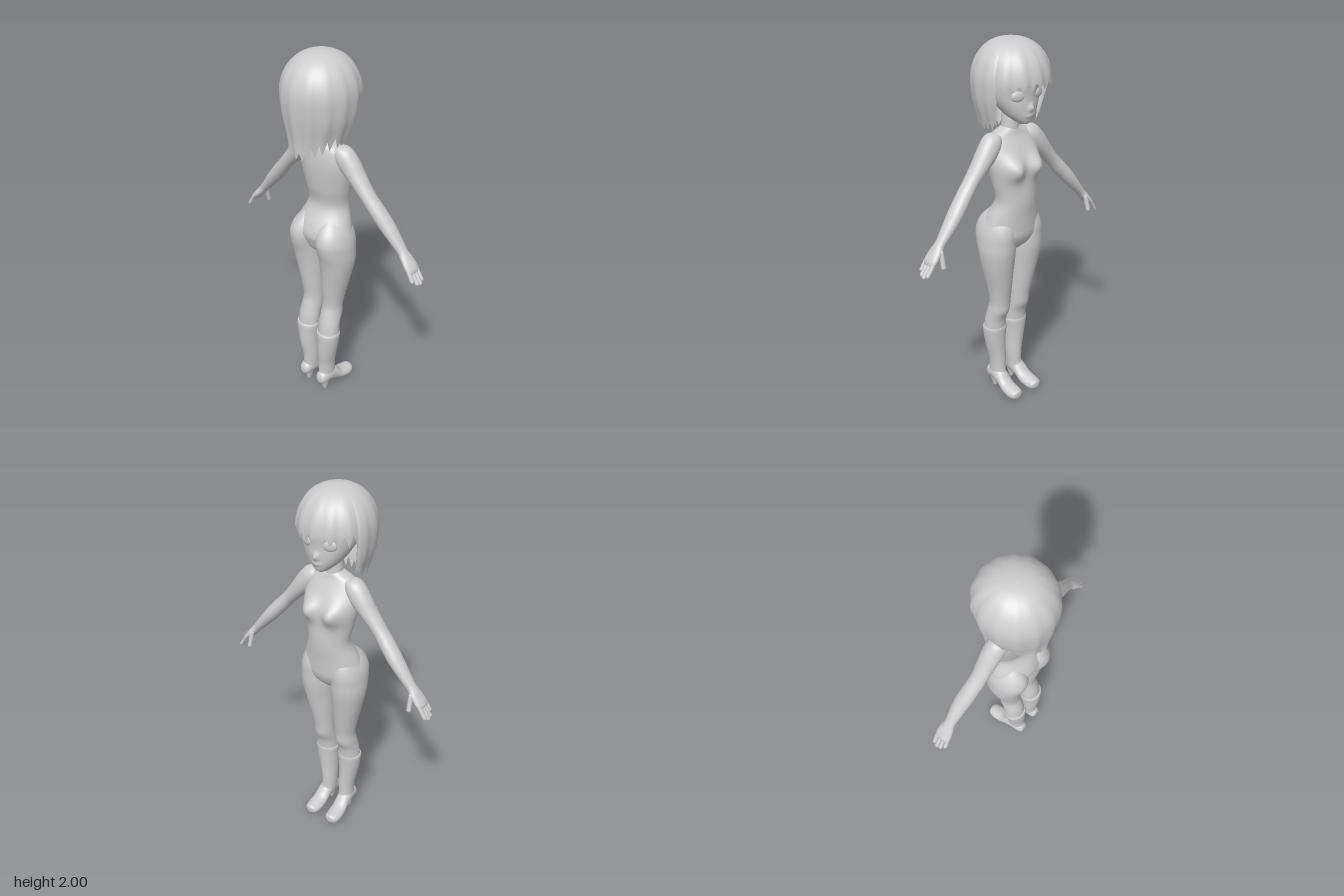
import * as THREE from 'three';

const grey = new THREE.MeshStandardMaterial({ color: 0xcccccc, side: THREE.DoubleSide });
grey.name = 'plain grey';

function add(parent, geometry, name, x = 0, y = 0, z = 0) {
  const mesh = new THREE.Mesh(geometry, grey);
  mesh.name = name;
  mesh.position.set(x, y, z);
  parent.add(mesh);
  return mesh;
}

// Catmull-Rom blend between table rows, f in row units
function sampleRow(rows, f) {
  const i = Math.min(Math.floor(f), rows.length - 2), t = f - i;
  const row = (k) => rows[Math.max(0, Math.min(rows.length - 1, k))];
  const [a, b, c, d] = [row(i - 1), row(i), row(i + 1), row(i + 2)];
  return b.map((v, k) => v + 0.5 * t * (c[k] - a[k]
    + t * (2 * a[k] - 5 * v + 4 * c[k] - d[k] + t * (3 * (v - c[k]) + d[k] - a[k]))));
}

// Closed grid of rings; faces are turned outward by the sign of the volume
function ringsToGeometry(rings, capped = true) {
  const n = rings[0].length, p = rings.flat(), index = [];
  for (let j = 0; j < rings.length - 1; j++) {
    for (let i = 0; i < n; i++) {
      const a = j * n + i, b = j * n + (i + 1) % n;
      index.push(a, a + n, b, b, a + n, b + n);
    }
  }
  if (capped) {
    [0, rings.length - 1].forEach((j) => {
      const c = new THREE.Vector3();
      rings[j].forEach((v) => c.addScaledVector(v, 1 / n));
      p.push(c);
      for (let i = 0; i < n; i++) {
        const a = j * n + i, b = j * n + (i + 1) % n;
        index.push(p.length - 1, j ? b : a, j ? a : b);
      }
    });
  }
  const mid = new THREE.Box3().setFromPoints(p).getCenter(new THREE.Vector3());
  const q = p.map((v) => v.clone().sub(mid));
  let volume = 0;
  for (let i = 0; i < index.length; i += 3) {
    volume += q[index[i]].dot(q[index[i + 1]].clone().cross(q[index[i + 2]]));
  }
  if (volume < 0) index.reverse();
  const g = new THREE.BufferGeometry().setFromPoints(p);
  g.setIndex(index);
  g.computeVertexNormals();
  return g;
}

// Oval cross-sections [station, centre x, half width, one edge, other edge]
function loft(rows, { along = 'y', warp = (v) => v, steps = 4, sides = 32 } = {}) {
  const rings = [];
  for (let k = 0; k <= (rows.length - 1) * steps; k++) {
    const [t, cx, hw, e0, e1] = sampleRow(rows, k / steps);
    rings.push(Array.from({ length: sides }, (_, i) => {
      const a = (i / sides) * Math.PI * 2;
      const x = cx + hw * Math.cos(a), d = (e0 + e1) / 2 + (e0 - e1) / 2 * Math.sin(a);
      return warp(along === 'y' ? new THREE.Vector3(x, t, d) : new THREE.Vector3(x, d, t));
    }));
  }
  return ringsToGeometry(rings);
}

const bump = (v, x, y, w, h) => Math.exp(-(((v.x - x) / w) ** 2) - ((v.y - y) / h) ** 2);

function capsule(parent, name, from, to, r) {
  const a = new THREE.Vector3(...from), b = new THREE.Vector3(...to), d = b.clone().sub(a);
  const m = add(parent, new THREE.CapsuleGeometry(r, d.length(), 5, 10), name);
  m.position.copy(a).addScaledVector(d, 0.5);
  m.quaternion.setFromUnitVectors(new THREE.Vector3(0, 1, 0), d.normalize());
}

function buildHead(root) {
  const head = new THREE.Group();
  head.name = 'head';
  root.add(head);
  // nose, lips and eye sockets are pushed out of the smooth skull
  const face = (v) => {
    if (v.z < -0.06) {
      v.z -= 0.022 * bump(v, 0, 1.69, 0.013, 0.016) + 0.008 * bump(v, 0, 1.652, 0.025, 0.008);
      v.z += 0.008 * (bump(v, 0.066, 1.75, 0.035, 0.03) + bump(v, -0.066, 1.75, 0.035, 0.03));
    }
    return v;
  };
  add(head, loft([
    [1.605, 0, 0.018, -0.095, -0.13], [1.62, 0, 0.045, -0.04, -0.144], [1.66, 0, 0.085, 0.02, -0.152],
    [1.72, 0, 0.122, 0.07, -0.153], [1.78, 0, 0.142, 0.12, -0.157], [1.85, 0, 0.145, 0.14, -0.16],
    [1.92, 0, 0.11, 0.11, -0.13], [1.95, 0, 0.05, 0.05, -0.07],
  ], { warp: face, steps: 6, sides: 64 }), 'face');
  add(head, new THREE.CylinderGeometry(0.04, 0.048, 0.15, 24), 'neck', 0, 1.59, -0.005);
  for (const s of [-1, 1]) {
    const eye = add(head, new THREE.SphereGeometry(1, 24, 16), 'eye', s * 0.066, 1.752, -0.133);
    eye.scale.set(0.034, 0.027, 0.012);
    eye.rotation.y = -s * 0.35;
  }
}

// Hair shell: a rippled dome whose hem falls in pointed locks around the face opening
function buildHair(root) {
  const columns = 112, levels = 22;
  const lower = [[1.8, 0.192, 0.203, 0.198], [1.7, 0.182, 0.196, 0.17],
    [1.6, 0.152, 0.18, 0.13], [1.5, 0.13, 0.174, 0.1], [1.4, 0.12, 0.17, 0.1]];
  const rings = [];
  for (let j = 0; j <= levels; j++) {
    rings.push(Array.from({ length: columns }, (_, i) => {
      const a = (i / columns) * Math.PI * 2, c = Math.cos(a), tooth = [0, 0.5, 1, 0.5][i % 4];
      const vary = 0.012 * Math.sin(i * 1.7);
      const hem = c > 0.42 ? 1.765 + 0.055 * tooth + vary
        : 1.57 - 0.075 * Math.max(0, -c) ** 2 + 0.05 * tooth + vary * 0.6;
      const t = j / levels, y = 2 - (2 - hem) * t ** 1.8;
      const [, w, back, front] = sampleRow(lower, Math.max(0, (1.8 - y) * 10));
      const dome = y > 1.8 ? Math.max(0, 1 - ((y - 1.8) / 0.2) ** 2) ** 0.42 : 1;
      const r = dome * (1 + 0.018 * t * Math.cos(a * 14));
      return new THREE.Vector3(-0.013 + w * r * Math.sin(a), y, -(c > 0 ? front : back) * r * c);
    }));
  }
  add(root, ringsToGeometry(rings, false), 'hair');
}

function buildTorso(root) {
  const chest = (v) => {
    if (v.z < -0.02) {
      v.z -= 0.052 * (bump(v, 0.07, 1.38, 0.05, 0.055) + bump(v, -0.07, 1.38, 0.05, 0.055));
    }
    return v;
  };
  add(root, loft([
    [0.91, 0, 0.04, 0.02, -0.06], [0.95, 0, 0.12, 0.07, -0.1], [1.0, 0, 0.165, 0.095, -0.122],
    [1.05, 0, 0.168, 0.108, -0.127], [1.11, 0, 0.148, 0.088, -0.131], [1.2, 0, 0.116, 0.04, -0.138],
    [1.3, 0, 0.132, 0.055, -0.132], [1.4, 0, 0.152, 0.067, -0.118], [1.47, 0, 0.152, 0.068, -0.092],
    [1.53, 0, 0.125, 0.06, -0.06], [1.56, 0, 0.065, 0.045, -0.05], [1.58, 0, 0.03, 0.03, -0.04],
  ], { warp: chest, steps: 5, sides: 64 }), 'torso');
}

function buildArm(root, s) {
  const arm = new THREE.Group();
  arm.name = s > 0 ? 'leftArm' : 'rightArm';
  arm.position.set(s * 0.13, 1.5, 0);
  arm.rotation.z = s * 0.716;
  root.add(arm);
  add(arm, loft([
    [0.055, 0, 0.02, 0.02, -0.04], [0.035, 0, 0.042, 0.035, -0.055], [0, 0, 0.055, 0.04, -0.066],
    [-0.06, 0, 0.053, 0.035, -0.07], [-0.13, 0, 0.043, 0.028, -0.067], [-0.22, 0, 0.036, 0.021, -0.063],
    [-0.31, 0, 0.038, 0.014, -0.073], [-0.4, 0, 0.036, 0.004, -0.081], [-0.5, 0, 0.027, -0.011, -0.077],
    [-0.545, 0, 0.023, -0.016, -0.075], [-0.59, 0, 0.022, -0.006, -0.086],
    [-0.64, 0, 0.018, -0.003, -0.089], [-0.66, 0, 0.008, -0.015, -0.075],
  ]), 'armAndPalm');
  for (let k = 0; k < 4; k++) {
    const z = -0.014 - k * 0.021, tip = [0.69, 0.712, 0.718, 0.705][k];
    capsule(arm, 'finger', [0, -0.63, z], [-s * 0.008, -tip, z + 0.002], 0.0115);
  }
  capsule(arm, 'thumb', [-s * 0.006, -0.575, -0.075], [-s * 0.05, -0.632, -0.095], 0.0125);
}

function buildLeg(root, s) {
  const leg = new THREE.Group();
  leg.name = s > 0 ? 'leftLeg' : 'rightLeg';
  root.add(leg);
  const side = (rows) => rows.map(([t, cx, ...rest]) => [t, s * cx, ...rest]);
  add(leg, loft(side([
    [1.15, 0.07, 0.03, 0.04, -0.05], [1.09, 0.083, 0.07, 0.1, -0.1], [1.03, 0.091, 0.087, 0.125, -0.118],
    [0.97, 0.094, 0.091, 0.118, -0.118], [0.9, 0.094, 0.092, 0.097, -0.114], [0.8, 0.088, 0.08, 0.08, -0.097],
    [0.7, 0.078, 0.066, 0.067, -0.08], [0.6, 0.07, 0.056, 0.056, -0.062], [0.54, 0.071, 0.057, 0.07, -0.056],
    [0.48, 0.073, 0.06, 0.085, -0.03], [0.41, 0.075, 0.062, 0.093, -0.022],
  ])), 'thighAndKnee');
  // boot shaft, slightly proud of the calf at the cuff
  add(leg, loft(side([
    [0.425, 0.075, 0.063, 0.096, -0.024], [0.41, 0.075, 0.067, 0.102, -0.026], [0.36, 0.074, 0.062, 0.101, -0.023],
    [0.28, 0.068, 0.053, 0.098, -0.02], [0.2, 0.06, 0.045, 0.086, -0.02], [0.13, 0.06, 0.041, 0.085, -0.022],
    [0.09, 0.061, 0.038, 0.09, -0.035], [0.065, 0.062, 0.03, 0.08, -0.03],
  ])), 'bootShaft');
  add(leg, loft(side([
    [0.102, 0.063, 0.018, 0.07, 0.105], [0.085, 0.063, 0.034, 0.052, 0.13], [0.03, 0.064, 0.04, 0.048, 0.15],
    [-0.02, 0.066, 0.041, 0.03, 0.125], [-0.06, 0.068, 0.044, 0.012, 0.085], [-0.11, 0.07, 0.045, 0.004, 0.07],
    [-0.145, 0.07, 0.036, 0.008, 0.064], [-0.158, 0.07, 0.016, 0.022, 0.055],
  ]), { along: 'z' }), 'bootFoot');
  add(leg, new THREE.CylinderGeometry(0.032, 0.012, 0.075, 16), 'heel', s * 0.063, 0.0375, 0.052);
}

export function createModel() {
  const root = new THREE.Group();
  root.name = 'figure';
  buildHead(root);
  buildHair(root);
  buildTorso(root);
  for (const s of [-1, 1]) {
    buildArm(root, s);
    buildLeg(root, s);
  }
  return root;
}
